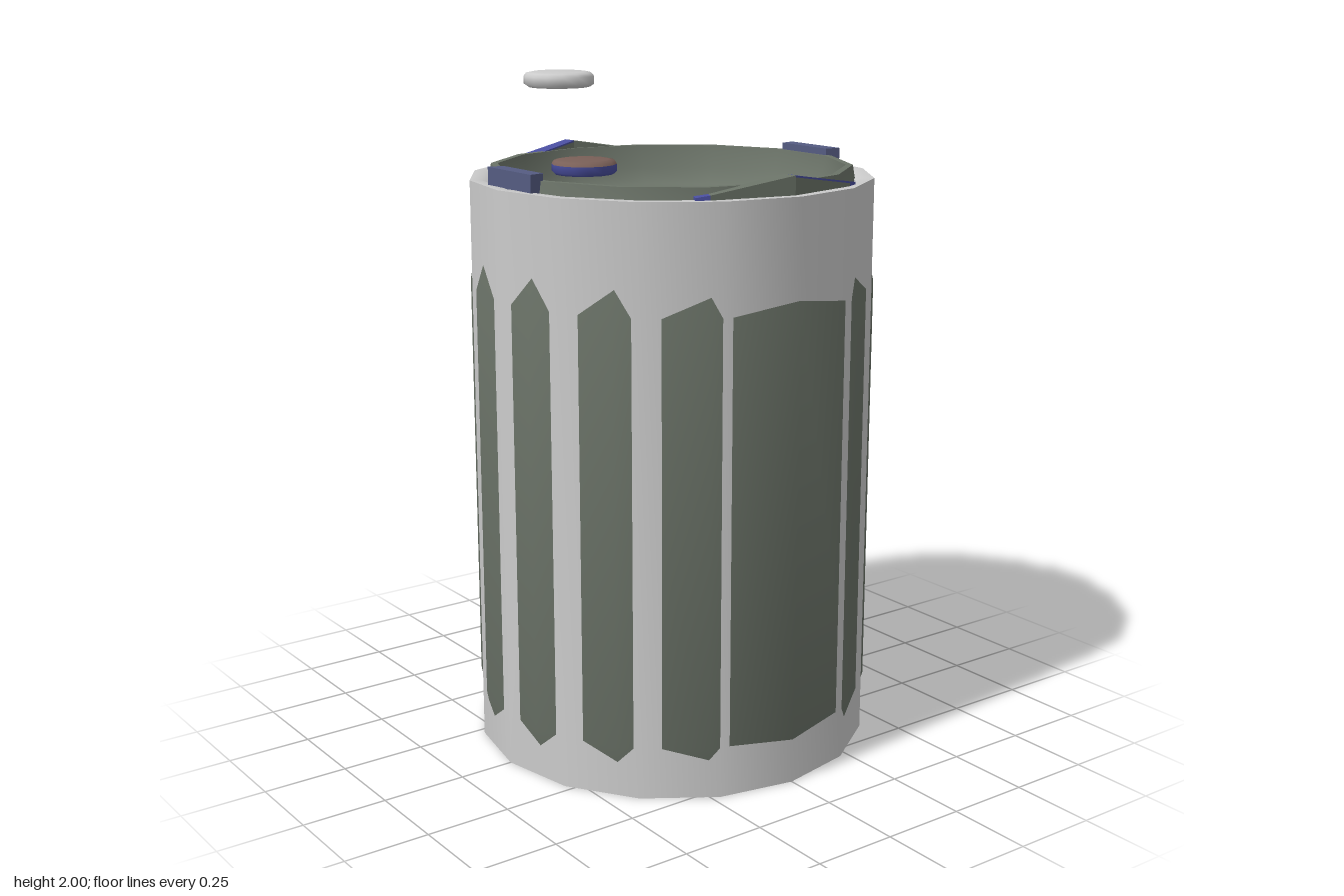
import * as THREE from 'three';
import { toCreasedNormals } from 'three/addons/utils/BufferGeometryUtils.js';

const GREEN = 0x6b7368, BLUE = 0x4a4fa0, SLATE = 0x555c82, BROWN = 0x7a6058, GREY = 0xcccccc;

function part(name, geometry, color, crease = 0.6) {
  const material = new THREE.MeshStandardMaterial({ color, side: THREE.DoubleSide });
  const mesh = new THREE.Mesh(toCreasedNormals(geometry, crease), material);
  mesh.name = name;
  return mesh;
}

// Turned part from [radius, height] pairs; the first corner points to +z
function turned(name, profile, sides, color, crease) {
  const points = profile.map(([r, y]) => new THREE.Vector2(r, y));
  return part(name, new THREE.LatheGeometry(points, sides), color, crease);
}

// Block along one side of the rim, from angle a to b, with its own heights at each end
function rimBlock(name, a, b, base, top, color) {
  const at = (angle, r, y) => [Math.sin(angle) * r, y, Math.cos(angle) * r];
  const inner = 0.513, outer = 0.56;
  const ring = (angle, low, high) => [
    at(angle, inner, low), at(angle, outer, low), at(angle, outer, high), at(angle, inner, high)];
  const corners = [...ring(a, base[0], top[0]), ...ring(b, base[1], top[1])];
  const geometry = new THREE.BufferGeometry();
  geometry.setAttribute('position', new THREE.Float32BufferAttribute(corners.flat(), 3));
  const index = [0, 2, 1, 0, 3, 2, 4, 5, 6, 4, 6, 7];
  for (let i = 0; i < 4; i++) {
    const j = (i + 1) % 4;
    index.push(i, j, j + 4, i, j + 4, i + 4);
  }
  geometry.setIndex(index);
  return part(name, geometry, color);
}

export function createModel() {
  const model = new THREE.Group();
  model.name = 'bin';

  // 16-sided outer shell, open at both ends
  model.add(turned('shell', [
    [0.56, 0.08], [0.56, 0], [0.587, 0], [0.587, 1.69],
    [0.555, 1.69], [0.535, 1.68], [0.535, 1.6],
  ], 16, GREY));

  // 14-sided liner whose corners push through the shell as upright panels
  model.add(turned('liner', [
    [0.46, 0.03], [0.52, 0.03], [0.548, 0.005], [0.5928, 0.15], [0.5928, 1.38],
    [0.53, 1.69], [0.525, 1.72], [0.505, 1.72],
  ], 14, GREEN));

  // Shallow, softly rounded dish closing the top of the liner
  model.add(turned('dish', [
    [0.505, 1.72], [0.49, 1.65], [0.455, 1.605], [0.4, 1.585], [0, 1.575],
  ], 14, GREEN, 1.2));

  // Underside plate
  model.add(turned('basePlate', [[0, 0.025], [0.47, 0.025], [0.47, 0.05]], 14, BROWN));

  // Rim catches: one on each side, a pointed pair at front and back
  const step = (Math.PI * 2) / 14, low = [1.67, 1.67];
  for (const turn of [0, Math.PI]) {
    const catches = new THREE.Group();
    catches.name = turn ? 'backAndRightCatches' : 'frontAndLeftCatches';
    catches.rotation.y = turn;
    catches.add(
      rimBlock('sideCatch', Math.PI / 2 - 0.2, Math.PI / 2 + 0.2, low, [1.74, 1.74], SLATE),
      rimBlock('pointedCatchLeft', 0, step, low, [1.738, 1.698], GREEN),
      rimBlock('pointedCatchCap', 0, step, [1.738, 1.698], [1.743, 1.703], BLUE),
      rimBlock('pointedCatchRight', -step, 0, low, [1.703, 1.743], GREEN),
      rimBlock('catchEndLeft', step, step * 1.16, low, [1.703, 1.697], BLUE),
      rimBlock('catchEndRight', -step * 1.16, -step, low, [1.697, 1.703], BLUE),
    );
    model.add(catches);
  }

  // Two round-edged discs hovering over the opening
  const lower = new THREE.Group();
  lower.name = 'lowerButton';
  lower.add(
    turned('lowerButtonBase', [[0, 1.715], [0.085, 1.715], [0.092, 1.722], [0.092, 1.742]], 14, BLUE, 1.2),
    turned('lowerButtonTop', [[0.092, 1.742], [0.086, 1.752], [0.07, 1.755], [0, 1.756]], 14, BROWN, 1.2),
  );
  lower.position.x = -0.302;
  const upper = turned('upperButton', [
    [0, 1.958], [0.085, 1.959], [0.097, 1.967], [0.097, 1.988],
    [0.09, 1.997], [0.075, 2], [0, 2],
  ], 14, GREY, 1.2);
  upper.position.x = -0.382;
  model.add(lower, upper);

  return model;
}
